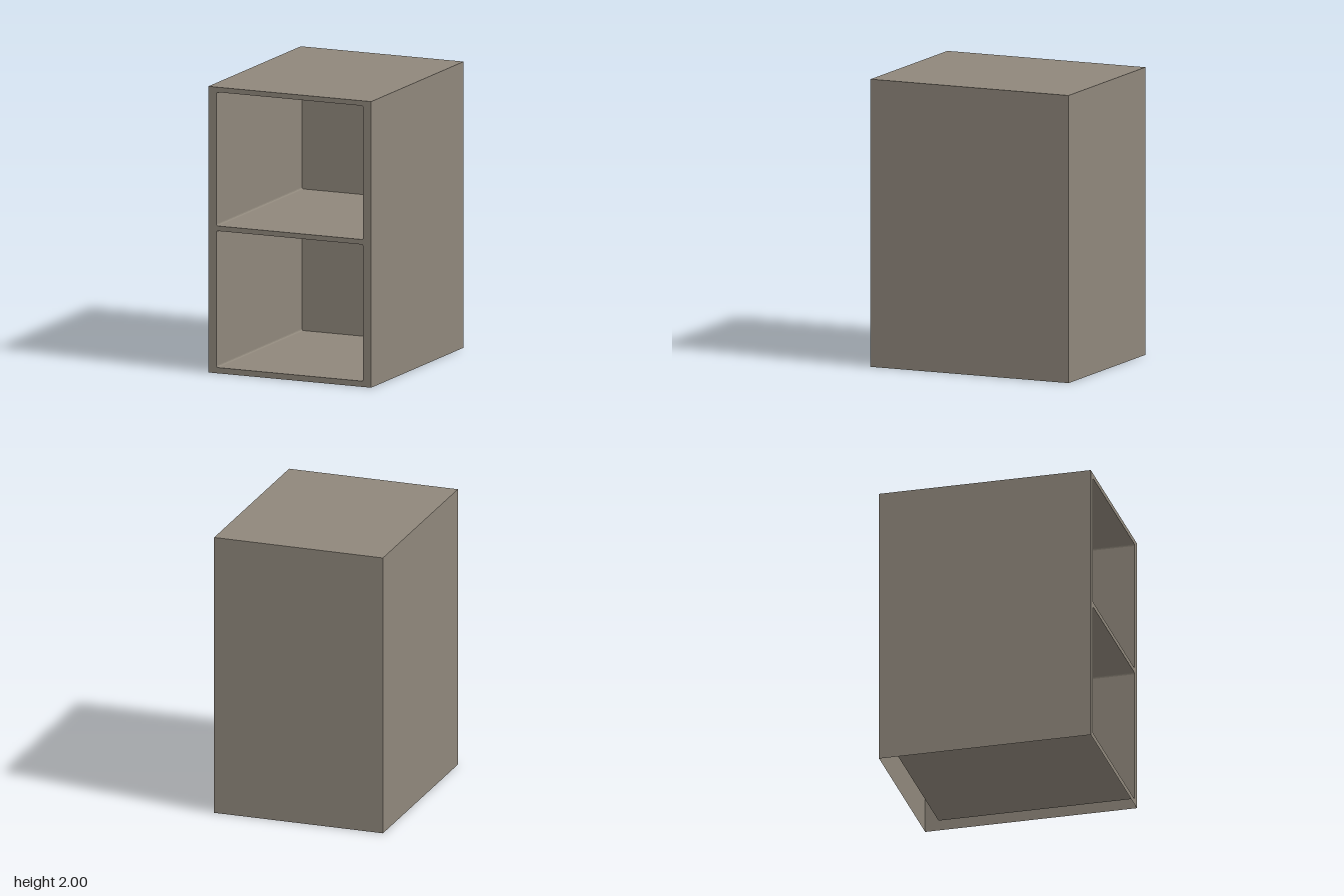
import * as THREE from 'three';

const W = 1.23, H = 2, D = 1.5;
const HOLE_X = 0.553, BACK_Z = -0.637, RADIUS = 0.012;
const BAYS = [
  { name: 'lower', y0: 0.04, y1: 0.995 },
  { name: 'upper', y0: 1.03, y1: 1.965 },
];

// Rectangle with slightly rounded corners, used for each bay opening
function roundedRect(path, x0, y0, x1, y1, r) {
  path.moveTo(x0 + r, y0);
  path.lineTo(x1 - r, y0);
  path.quadraticCurveTo(x1, y0, x1, y0 + r);
  path.lineTo(x1, y1 - r);
  path.quadraticCurveTo(x1, y1, x1 - r, y1);
  path.lineTo(x0 + r, y1);
  path.quadraticCurveTo(x0, y1, x0, y1 - r);
  path.lineTo(x0, y0 + r);
  path.quadraticCurveTo(x0, y0, x0 + r, y0);
  return path;
}

const bayOutline = (path, bay) => roundedRect(path, -HOLE_X, bay.y0, HOLE_X, bay.y1, RADIUS);

// Extruded outline with its end caps removed
function tubeWalls(shape, depth) {
  const full = new THREE.ExtrudeGeometry(shape, { depth, bevelEnabled: false, curveSegments: 3 });
  const { start, count } = full.groups[1];
  const walls = new THREE.BufferGeometry();
  for (const key of ['position', 'normal']) {
    const part = full.attributes[key].array.slice(start * 3, (start + count) * 3);
    walls.setAttribute(key, new THREE.BufferAttribute(part, 3));
  }
  return walls;
}

export function createModel() {
  const model = new THREE.Group();
  model.name = 'openCabinet';
  const paint = new THREE.MeshStandardMaterial({ color: 0x8f877b, side: THREE.DoubleSide });
  paint.name = 'warmGrey';

  const add = (name, geometry, z = 0, parent = model) => {
    const mesh = new THREE.Mesh(geometry, paint);
    mesh.name = name;
    mesh.position.z = z;
    parent.add(mesh);
    return mesh;
  };

  // Thin outer shell: sides, top and back, open at the bottom and front
  const shell = new THREE.BoxGeometry(W, H, D).translate(0, H / 2, 0);
  const index = Array.from(shell.index.array);
  shell.setIndex([...index.slice(0, 18), ...index.slice(30)]);
  shell.clearGroups();
  add('outerShell', shell);

  // Front frame with two openings
  const frame = new THREE.Shape();
  frame.moveTo(-W / 2, 0);
  frame.lineTo(W / 2, 0);
  frame.lineTo(W / 2, H);
  frame.lineTo(-W / 2, H);
  frame.closePath();
  for (const bay of BAYS) frame.holes.push(bayOutline(new THREE.Path(), bay));
  add('frontFrame', new THREE.ShapeGeometry(frame, 3), D / 2);

  // Hollow bays running back from the openings
  for (const bay of BAYS) {
    const group = new THREE.Group();
    group.name = bay.name + 'Bay';
    model.add(group);
    const shape = bayOutline(new THREE.Shape(), bay);
    add(bay.name + 'BayWalls', tubeWalls(shape, D / 2 - BACK_Z), BACK_Z, group);
    add(bay.name + 'BayBack', new THREE.ShapeGeometry(shape, 3), BACK_Z, group);
  }
  return model;
}
